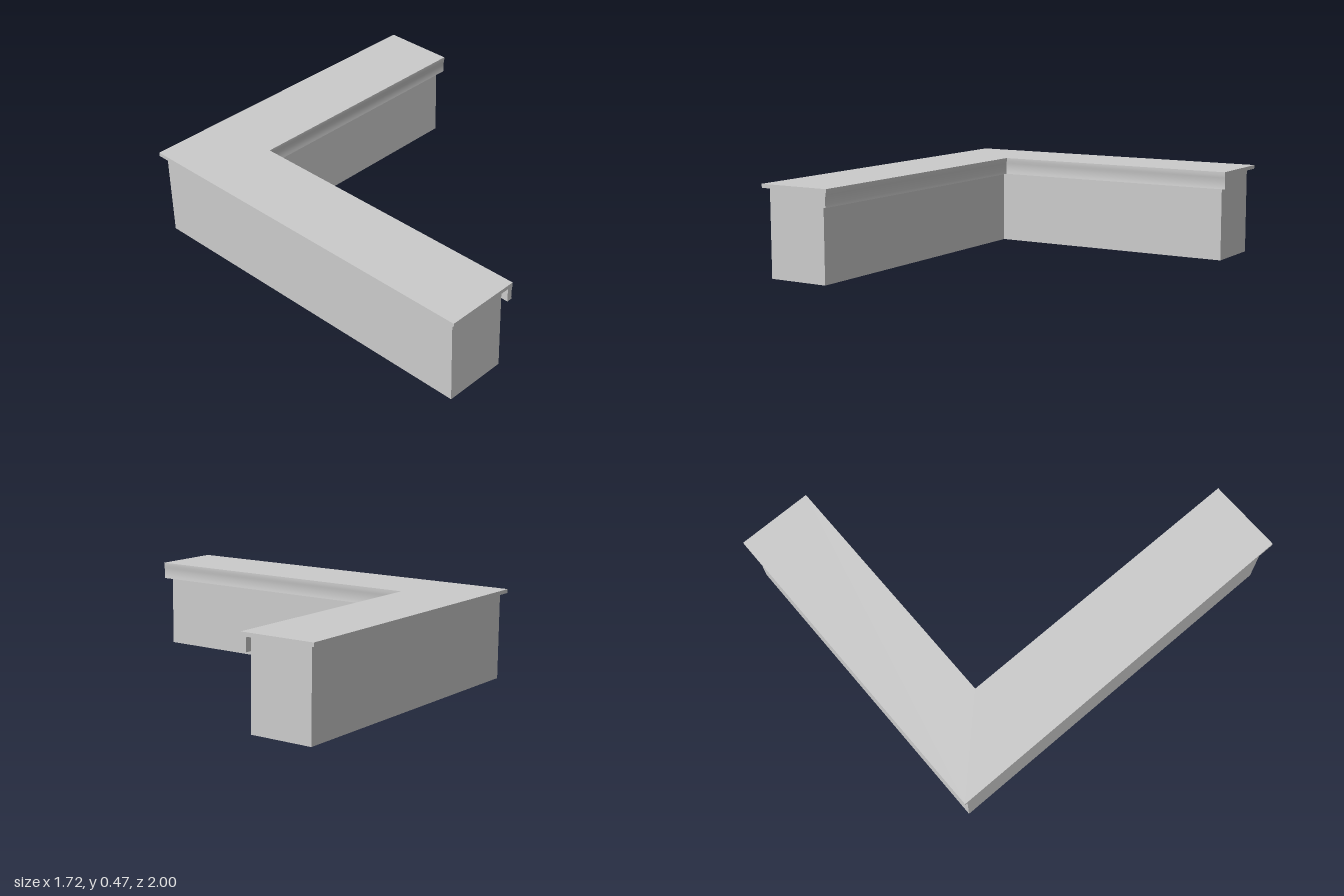
import * as THREE from 'three';
import { toCreasedNormals } from 'three/addons/utils/BufferGeometryUtils.js';

const material = new THREE.MeshStandardMaterial({ color: 0xcccccc, side: THREE.DoubleSide });

function fromTriangles(points) {
  const geometry = new THREE.BufferGeometry().setFromPoints(points);
  geometry.computeVertexNormals();
  return geometry;
}

// Sweep a cross-section (offset from the outer edge, height) round the mitred corner
function createWorktop() {
  const profile = [
    [0, 0.45], [0.36, 0.45], [0.363, 0.447], [0.363, 0.38], // slab underside, back of lip
    [0.391, 0.38], [0.389, 0.395], [0.389, 0.42], [0.392, 0.44], [0.395, 0.455], // lip front
    [0.395, 0.47], [0, 0.47],
  ].map(([d, y]) => new THREE.Vector2(d, y));
  const sections = [
    profile.map((p) => new THREE.Vector3(0.86, p.y, -1 + p.x)),
    profile.map((p) => new THREE.Vector3(-0.86 + p.x, p.y, -1 + p.x)),
    profile.map((p) => new THREE.Vector3(-0.86 + p.x, p.y, 1)),
  ];
  const triangles = [];
  for (let s = 0; s < 2; s++) {
    const a = sections[s], b = sections[s + 1];
    for (let i = 0; i < profile.length; i++) {
      const j = (i + 1) % profile.length;
      triangles.push(a[i], a[j], b[j], a[i], b[j], b[i]);
    }
  }
  // End caps
  for (const [i, j, k] of THREE.ShapeUtils.triangulateShape(profile, [])) {
    triangles.push(sections[0][i], sections[0][k], sections[0][j]);
    triangles.push(sections[2][i], sections[2][j], sections[2][k]);
  }
  return toCreasedNormals(fromTriangles(triangles), 0.6);
}

// Upright panels round the L-shaped plan, open underneath
function createBase() {
  const plan = [
    [-0.835, -0.97], [0.83, -0.97], [0.83, -0.64],
    [-0.505, -0.64], [-0.505, 0.97], [-0.835, 0.97],
  ];
  const triangles = [];
  plan.forEach(([x, z], i) => {
    const [x2, z2] = plan[(i + 1) % plan.length];
    const a = new THREE.Vector3(x, 0, z), b = new THREE.Vector3(x2, 0, z2);
    const aTop = new THREE.Vector3(x, 0.45, z), bTop = new THREE.Vector3(x2, 0.45, z2);
    triangles.push(a, bTop, b, a, aTop, bTop);
  });
  return fromTriangles(triangles);
}

export function createModel() {
  const group = new THREE.Group();
  group.name = 'cornerCounter';
  const parts = { base: createBase(), worktop: createWorktop() };
  for (const [name, geometry] of Object.entries(parts)) {
    const mesh = new THREE.Mesh(geometry, material);
    mesh.name = name;
    group.add(mesh);
  }
  return group;
}
